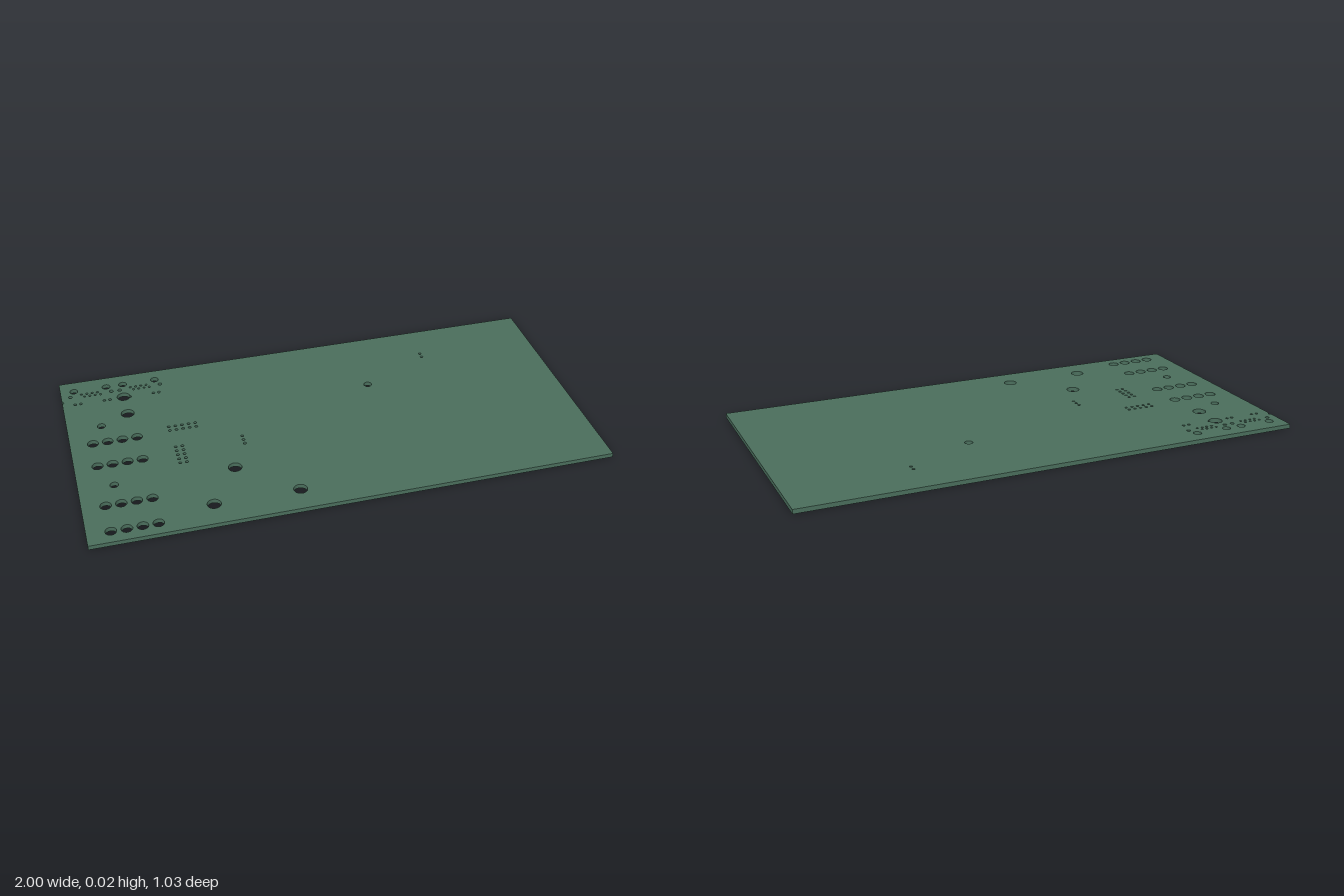
import * as THREE from 'three';

const HALF_DEPTH = 0.513;
const THICKNESS = 0.017;

export function createModel() {
  const group = new THREE.Group();
  group.name = 'circuitBoard';

  // Board outline in (x, z), with a tiny half-round notch in the left-hand edge
  const board = new THREE.Shape();
  board.moveTo(-1, -HALF_DEPTH);
  board.lineTo(1, -HALF_DEPTH);
  board.lineTo(1, HALF_DEPTH);
  board.lineTo(-1, HALF_DEPTH);
  board.absarc(-1, -0.38, 0.007, Math.PI / 2, -Math.PI / 2, true);
  board.closePath();

  const drill = (x, z, r) => {
    const hole = new THREE.Path();
    hole.absarc(x, z, r, 0, Math.PI * 2, true);
    board.holes.push(hole);
  };
  const drillGrid = (x0, z0, columns, rows, pitchX, pitchZ, r) => {
    for (let i = 0; i < columns; i++) {
      for (let j = 0; j < rows; j++) drill(x0 + i * pitchX, z0 + j * pitchZ, r);
    }
  };

  // Terminal block holes: four rows of four
  for (const z of [-0.075, 0.07, 0.31, 0.454]) drillGrid(-0.912, z, 4, 1, 0.057, 0, 0.021);

  // Locating holes
  for (const [x, z] of [[-0.866, -0.182], [-0.866, 0.198], [0.23, -0.182]]) drill(x, z, 0.016);

  // Large mounting holes
  for (const [x, z] of [[-0.754, -0.24], [-0.412, 0.213], [-0.53, 0.403], [-0.206, 0.403]]) {
    drill(x, z, 0.026);
  }

  // Mounting hole that breaks into a neighbouring pin hole
  const merged = new THREE.Path();
  merged.absarc(-0.754, -0.36, 0.026, -0.05, 0.42, true);
  merged.absarc(-0.728, -0.354, 0.006, Math.PI / 2, -Math.PI / 2, true);
  merged.closePath();
  board.holes.push(merged);

  // Two socket footprints: pegs, shield tabs, staggered contacts, lamp pins
  for (const cx of [-0.88, -0.68]) {
    for (const s of [-1, 1]) {
      drill(cx + s * 0.066, -0.449, 0.016);
      drill(cx + s * 0.083, -0.412, 0.008);
    }
    for (let i = 0; i < 8; i++) {
      drill(cx + (i - 3.5) * 0.0108, i % 2 ? -0.403 : -0.421, 0.005);
    }
    for (const dx of [-0.07, -0.047, 0.047, 0.07]) {
      if (cx + dx < -0.76 || cx + dx > -0.7) drill(cx + dx, -0.355, 0.006);
    }
  }

  // Pin header holes
  drillGrid(-0.611, -0.107, 5, 2, 0.0263, 0.025, 0.006);
  drillGrid(-0.607, 0.028, 2, 5, 0.026, 0.026, 0.006);
  drillGrid(-0.345, 0.027, 1, 3, 0, 0.0245, 0.006);
  drillGrid(0.512, -0.345, 1, 2, 0, 0.025, 0.006);

  const geometry = new THREE.ExtrudeGeometry(board, {
    depth: THICKNESS, bevelEnabled: false, curveSegments: 16,
  });
  geometry.rotateX(Math.PI / 2);
  geometry.translate(0, THICKNESS, 0);

  const mesh = new THREE.Mesh(geometry, new THREE.MeshStandardMaterial({ color: 0x4a6e5c }));
  mesh.name = 'board';
  group.add(mesh);
  return group;
}
